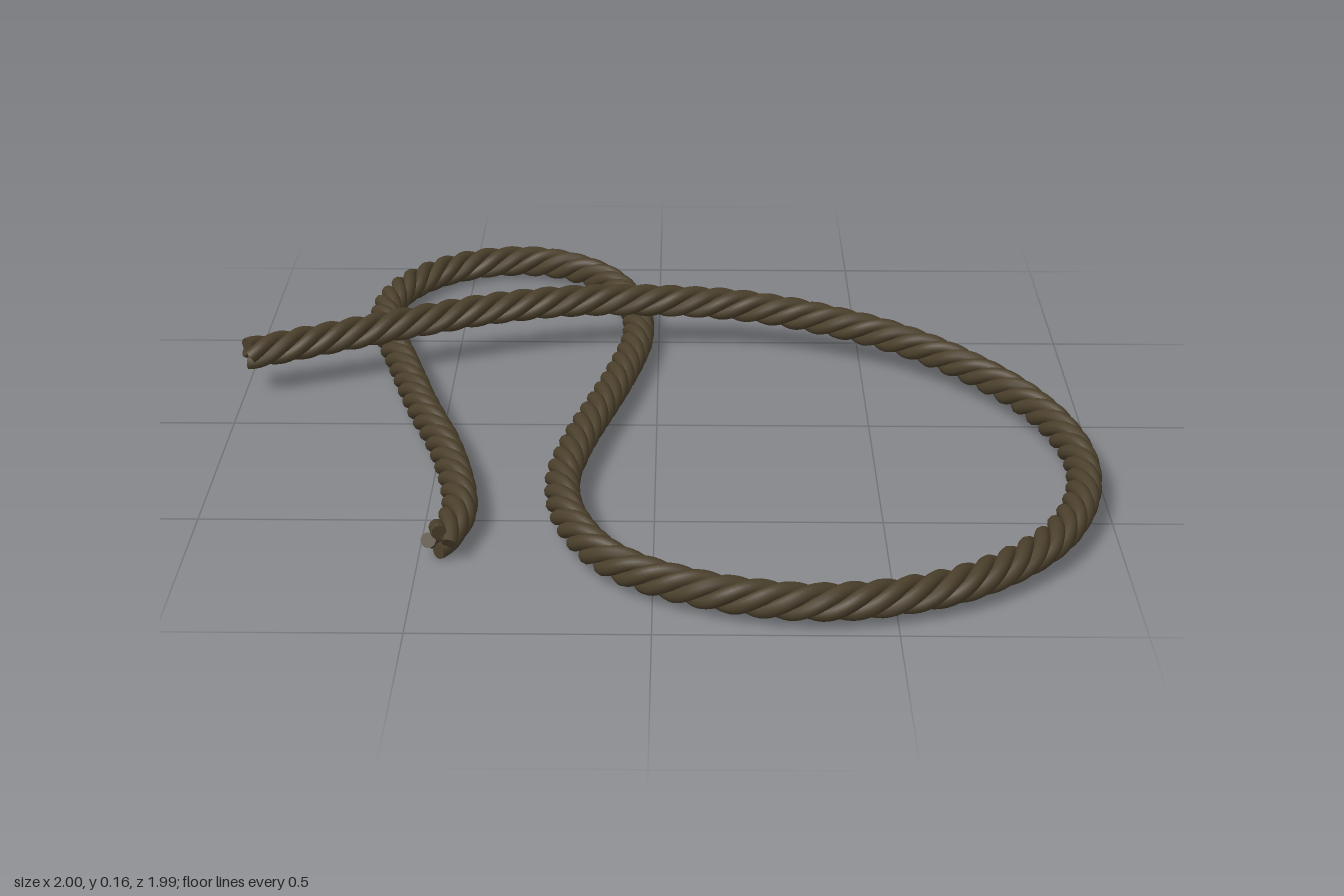
import * as THREE from 'three';

const STRANDS = 4;
const STRAND_RADIUS = 0.0172;
const LAY_RADIUS = 0.0232; // distance of each strand from the rope's centre line
const LEAD = 0.25; // rope length per full turn of a strand

// Centre line of the rope as [x, y, z], from the raised end to the low end
const PATH = [
  [-0.99, 0.103, -0.185], [-0.8, 0.112, -0.265], [-0.6, 0.12, -0.35], [-0.4, 0.125, -0.43],
  [-0.2, 0.125, -0.48], [0, 0.12, -0.495], [0.2, 0.112, -0.485], [0.4, 0.1, -0.43],
  [0.61, 0.085, -0.32], [0.8, 0.07, -0.13], [0.91, 0.062, 0.07], [0.955, 0.056, 0.3],
  [0.92, 0.055, 0.52], [0.82, 0.055, 0.71], [0.62, 0.055, 0.88], [0.35, 0.055, 0.953],
  [0.1, 0.054, 0.9], [-0.08, 0.053, 0.78], [-0.175, 0.052, 0.6], [-0.205, 0.05, 0.4],
  [-0.18, 0.05, 0.2], [-0.135, 0.048, 0], [-0.09, 0.046, -0.2], [-0.052, 0.044, -0.45],
  [-0.07, 0.044, -0.65], [-0.14, 0.044, -0.82], [-0.25, 0.044, -0.925], [-0.38, 0.044, -0.96],
  [-0.53, 0.044, -0.915], [-0.65, 0.044, -0.79], [-0.7, 0.044, -0.62], [-0.675, 0.044, -0.45],
  [-0.62, 0.044, -0.25], [-0.55, 0.044, 0], [-0.485, 0.044, 0.2], [-0.435, 0.044, 0.42],
  [-0.425, 0.044, 0.55], [-0.455, 0.044, 0.68],
].map((p) => new THREE.Vector3(...p));

const UP = new THREE.Vector3(0, 1, 0);

// One strand winding left-handed round the centre line
class StrandCurve extends THREE.Curve {
  constructor(core, phase) {
    super();
    this.core = core;
    this.phase = phase;
    this.turns = core.getLength() / LEAD;
  }
  getPoint(t, target = new THREE.Vector3()) {
    const tangent = this.core.getTangentAt(t);
    const side = new THREE.Vector3().crossVectors(UP, tangent).normalize();
    const top = new THREE.Vector3().crossVectors(tangent, side);
    const a = this.phase - t * this.turns * Math.PI * 2;
    return target.copy(this.core.getPointAt(t))
      .addScaledVector(side, LAY_RADIUS * Math.cos(a))
      .addScaledVector(top, LAY_RADIUS * Math.sin(a));
  }
  getPointAt(u, target) { return this.getPoint(u, target); }
  getTangentAt(u, target) { return this.getTangent(u, target); }
}

export function createModel() {
  const rope = new THREE.Group();
  rope.name = 'rope';
  const material = new THREE.MeshStandardMaterial({ color: 0x4a3f2b });

  const core = new THREE.CatmullRomCurve3(PATH, false, 'centripetal');
  core.arcLengthDivisions = 1500;
  const segments = Math.ceil(core.getLength() / LEAD) * 24;

  for (let i = 0; i < STRANDS; i++) {
    const curve = new StrandCurve(core, (i / STRANDS) * Math.PI * 2);
    const strand = new THREE.Mesh(
      new THREE.TubeGeometry(curve, segments, STRAND_RADIUS, 10, false), material);
    strand.name = 'strand' + (i + 1);
    rope.add(strand);

    // Flat cut ends
    for (const [t, dir] of [[0, -1], [1, 1]]) {
      const cap = new THREE.Mesh(new THREE.CircleGeometry(STRAND_RADIUS, 10), material);
      cap.name = 'strandEnd';
      cap.position.copy(curve.getPoint(t));
      cap.lookAt(cap.position.clone().addScaledVector(curve.getTangent(t), dir));
      rope.add(cap);
    }
  }

  // Hidden heart that fills the gap between the strands
  const heart = new THREE.Mesh(
    new THREE.TubeGeometry(core, 300, LAY_RADIUS * 0.6, 8, false), material);
  heart.name = 'heart';
  rope.add(heart);
  return rope;
}
